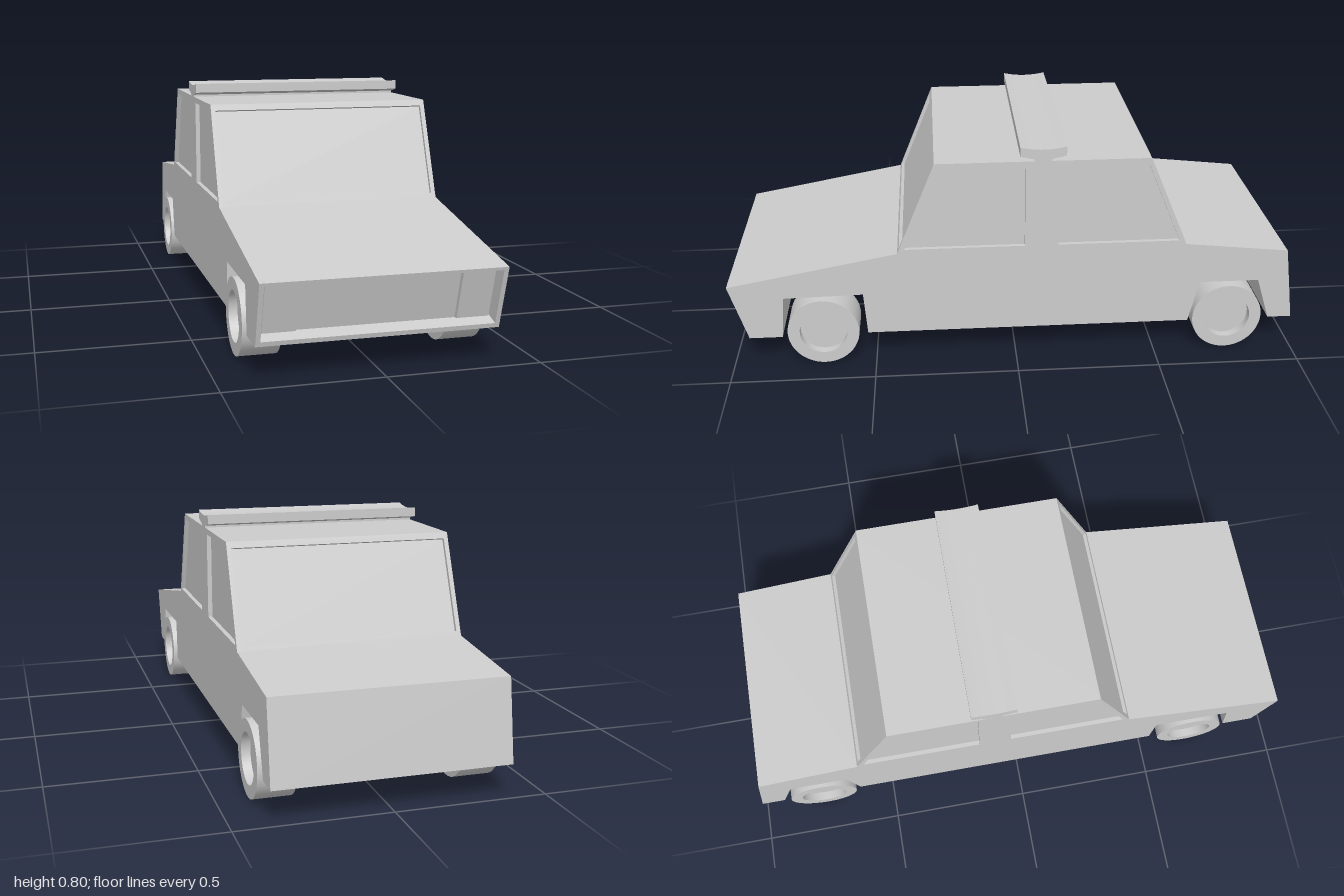
import * as THREE from 'three';
import { toCreasedNormals } from 'three/addons/utils/BufferGeometryUtils.js';

const material = new THREE.MeshStandardMaterial({ color: 0xcccccc });
const HALF = 0.385, SKIN = 0.015, CORE = HALF - SKIN;

const toPoints = (list) => list.map(([z, y]) => new THREE.Vector2(z, y));

// Extrudes a (z, y) side profile across x from x0 to x1
function extrudeAcross(name, shape, x0, x1) {
  const geo = new THREE.ExtrudeGeometry(shape, { depth: x1 - x0, bevelEnabled: false, curveSegments: 16 });
  geo.rotateY(-Math.PI / 2).translate(x1, 0, 0);
  const mesh = new THREE.Mesh(toCreasedNormals(geo, 0.5), material);
  mesh.name = name;
  return mesh;
}

// Profile points of a recess cut into the edge a-b, between heights y0 and y1
function notch(a, b, y0, y1, depth) {
  const dz = b[0] - a[0], dy = b[1] - a[1], len = Math.hypot(dz, dy);
  const at = (y) => [a[0] + dz * (y - a[1]) / dy, y];
  const inward = ([z, y]) => [z - dy / len * depth, y + dz / len * depth];
  const p = at(y0), q = at(y1);
  return [p, inward(p), inward(q), q];
}

export function createModel() {
  const car = new THREE.Group();
  car.name = 'car';

  // Side outline, counter-clockwise from the front bumper, wheel arches included
  const bumper = [0.94, 0.105], nose = [1, 0.31];
  const cowl = [0.41, 0.42], roofFront = [0.275, 0.75];
  const roofRear = [-0.455, 0.75], deck = [-0.595, 0.42];
  const rest = [[-0.96, 0.38], [-1, 0.11], [-0.915, 0.11], [-0.865, 0.265], [-0.655, 0.265],
    [-0.62, 0.11], [0.525, 0.11], [0.535, 0.265], [0.81, 0.26], [0.825, 0.105]];

  // Core with recessed grille, windscreen and rear window
  const grille = notch(bumper, nose, 0.12, 0.3, 0.05);
  const windscreen = notch(cowl, roofFront, 0.435, 0.73, 0.012);
  const rearWindow = notch(roofRear, deck, 0.73, 0.435, 0.012);
  const core = new THREE.Shape(toPoints([bumper, ...grille, nose, cowl, ...windscreen, roofFront,
    roofRear, ...rearWindow, deck, ...rest]));
  car.add(extrudeAcross('body', core, -CORE, CORE));

  // Side panels with window openings
  const windows = [
    [[0.385, 0.435], [-0.03, 0.435], [-0.03, 0.73], [0.267, 0.73]],
    [[-0.145, 0.435], [-0.145, 0.73], [-0.447, 0.73], [-0.57, 0.435]],
  ];
  const panel = new THREE.Shape(toPoints([bumper, nose, cowl, roofFront, roofRear, deck, ...rest]));
  windows.forEach((w) => panel.holes.push(new THREE.Path(toPoints(w))));
  car.add(extrudeAcross('leftSidePanel', panel, CORE, HALF));
  car.add(extrudeAcross('rightSidePanel', panel, -HALF, -CORE));

  // Headlights standing slightly proud of the grille
  const lamp = new THREE.Shape(toPoints([[0.898, 0.134], [0.914, 0.136], [0.962, 0.297], [0.948, 0.312]]));
  car.add(extrudeAcross('leftHeadlight', lamp, 0.255, 0.36));
  car.add(extrudeAcross('rightHeadlight', lamp, -0.36, -0.255));

  // Roof light bar with a hollow top
  const bar = new THREE.Shape();
  bar.moveTo(-0.06, 0.748);
  bar.lineTo(-0.06, 0.757);
  bar.lineTo(-0.012, 0.768);
  bar.lineTo(-0.012, 0.8);
  bar.quadraticCurveTo(-0.09, 0.782, -0.168, 0.8);
  bar.lineTo(-0.168, 0.768);
  bar.lineTo(-0.12, 0.757);
  bar.lineTo(-0.12, 0.748);
  bar.closePath();
  car.add(extrudeAcross('roofBar', bar, -HALF, HALF));

  // Wheels with sunken hubs
  const profile = toPoints([[0, 0], [0.125, 0], [0.125, 0.125], [0.083, 0.125], [0.083, 0.095], [0, 0.095]]);
  const wheelGeo = toCreasedNormals(new THREE.LatheGeometry(profile, 48), 0.5);
  for (const [end, z] of [['front', 0.68], ['rear', -0.76]]) {
    for (const [side, s] of [['Left', 1], ['Right', -1]]) {
      const wheel = new THREE.Mesh(wheelGeo, material);
      wheel.name = `${end}${side}Wheel`;
      wheel.rotation.z = -s * Math.PI / 2;
      wheel.position.set(s * 0.27, 0.127, z);
      car.add(wheel);
    }
  }
  car.children.forEach((part) => { if (part.name.endsWith('Wheel')) part.position.y = 0.125; });
  return car;
}
